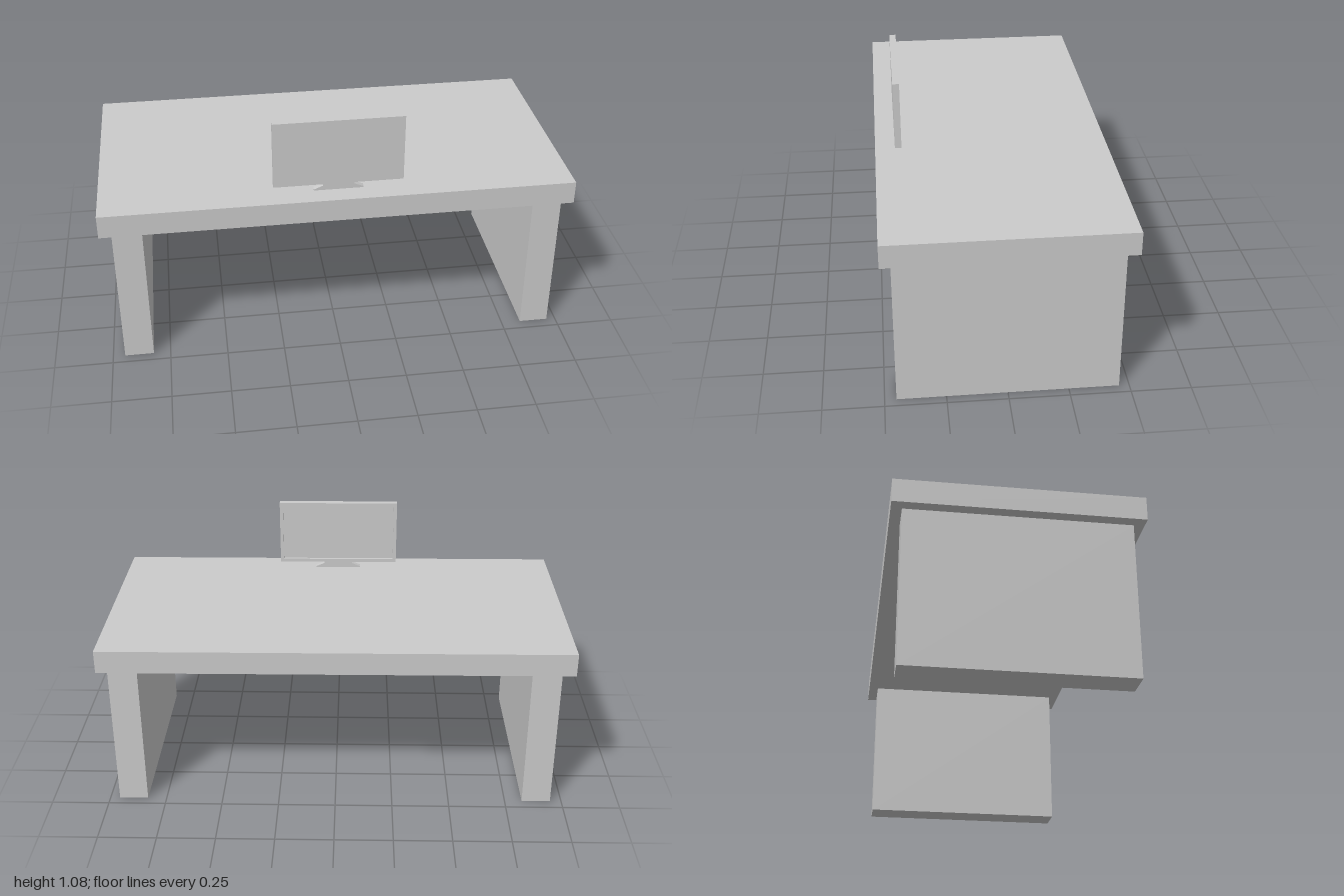
import * as THREE from 'three';

const material = new THREE.MeshStandardMaterial({ color: 0xcccccc, flatShading: true });

function add(group, name, geometry, x, y, z) {
  const mesh = new THREE.Mesh(geometry, material);
  mesh.name = name;
  mesh.position.set(x, y, z);
  group.add(mesh);
  return mesh;
}

// Closed shape from corner points
const outline = (points) => new THREE.Shape(points.map(([x, y]) => new THREE.Vector2(x, y)));

const extrude = (shape, depth) => new THREE.ExtrudeGeometry(shape, { depth, bevelEnabled: false });

function createMonitor() {
  const monitor = new THREE.Group();
  monitor.name = 'monitor';
  const w = 0.274, bottom = 0.784, top = 1.08, bezel = 0.015;

  // Rim around the recessed screen, which faces the back of the desk
  const rim = outline([[-w, bottom], [w, bottom], [w, top], [-w, top]]);
  const opening = new THREE.Path();
  opening.moveTo(-w + bezel, bottom + bezel);
  opening.lineTo(-w + bezel, top - bezel);
  opening.lineTo(w - bezel, top - bezel);
  opening.lineTo(w - bezel, bottom + bezel);
  opening.closePath();
  rim.holes.push(opening);
  add(monitor, 'screenRim', extrude(rim, 0.012), 0, 0, 0.386);

  // Solid casing, whose inner face is the screen
  add(monitor, 'screenCasing', new THREE.BoxGeometry(2 * w, top - bottom, 0.016), 0, (top + bottom) / 2, 0.406);

  // Flared stand: narrow neck spreading to a wider foot
  const stand = outline([
    [-0.105, 0.755], [0.105, 0.755], [0.105, 0.76], [0.066, 0.776],
    [0.066, 0.786], [-0.066, 0.786], [-0.066, 0.776], [-0.105, 0.76],
  ]);
  add(monitor, 'stand', extrude(stand, 0.022), 0, 0, 0.39);
  return monitor;
}

export function createModel() {
  const desk = new THREE.Group();
  desk.name = 'desk';

  add(desk, 'deskTop', new THREE.BoxGeometry(1.997, 0.1, 0.997), 0, 0.705, 0);

  // Slab legs
  add(desk, 'rightLeg', new THREE.BoxGeometry(0.125, 0.655, 0.91), -0.887, 0.3275, 0);
  add(desk, 'leftLeg', new THREE.BoxGeometry(0.125, 0.655, 0.91), 0.897, 0.3275, 0);

  desk.add(createMonitor());

  // The whole desk stands very slightly turned
  desk.rotation.y = 0.003;
  return desk;
}
